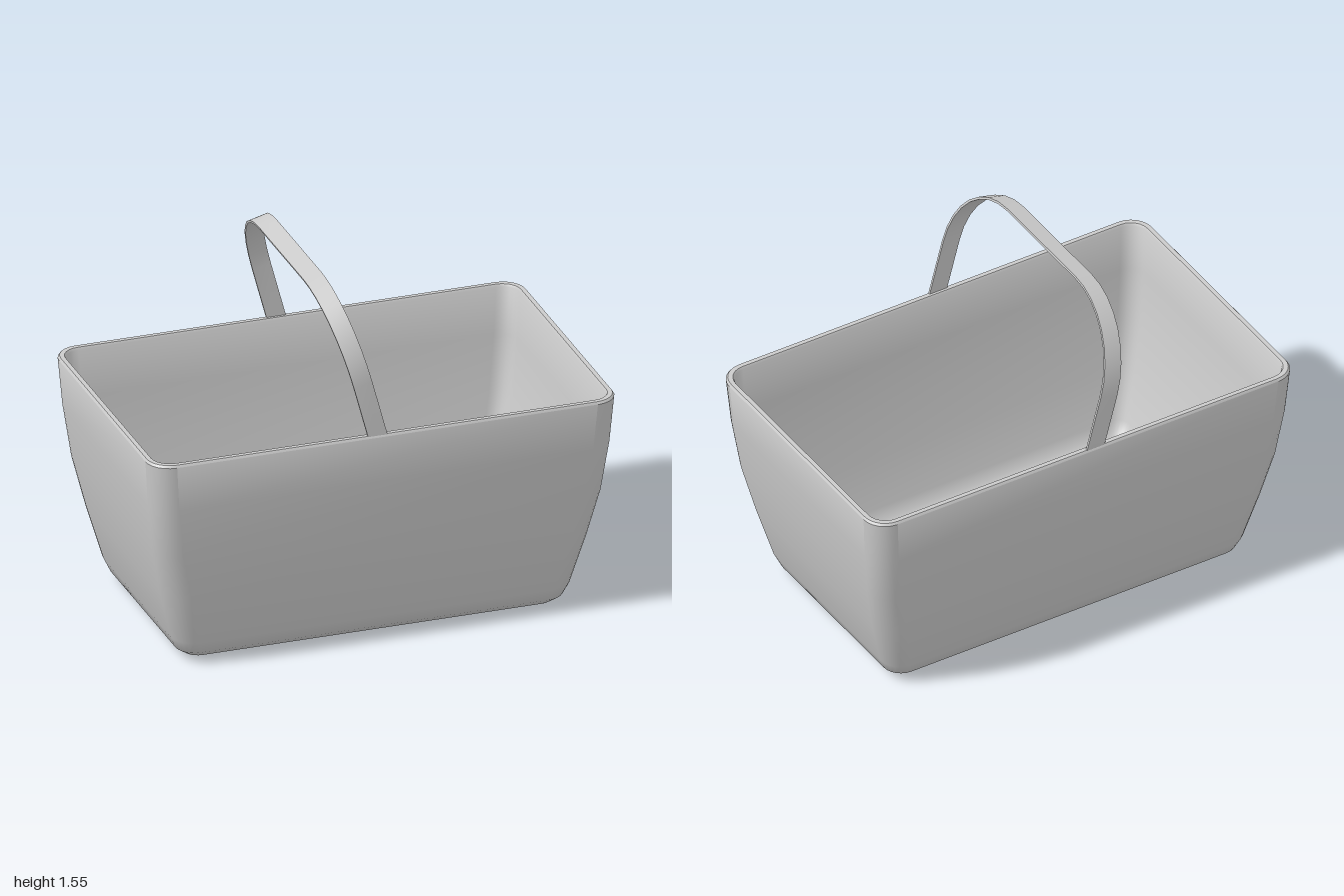
import * as THREE from 'three';
import { toCreasedNormals } from 'three/addons/utils/BufferGeometryUtils.js';

const CORNER_STEPS = 6;

// Rounded rectangle in the xz plane at height y
function ring([y, hx, hz, r]) {
  const points = [];
  const corners = [[1, 1], [-1, 1], [-1, -1], [1, -1]];
  corners.forEach(([sx, sz], q) => {
    for (let i = 0; i <= CORNER_STEPS; i++) {
      const a = (q + i / CORNER_STEPS) * Math.PI / 2;
      points.push([sx * (hx - r) + r * Math.cos(a), y, sz * (hz - r) + r * Math.sin(a)]);
    }
  });
  return points;
}

// Skin through the rings, closed with a fan at each end
function loft(sections) {
  const rings = sections.map(ring);
  const n = rings[0].length;
  const positions = rings.flat(2);
  const index = [];
  for (let i = 0; i < rings.length - 1; i++) {
    for (let j = 0; j < n; j++) {
      const k = (j + 1) % n;
      const a = i * n + j, b = i * n + k, c = a + n, d = b + n;
      index.push(a, c, b, b, c, d);
    }
  }
  const first = rings.length * n, last = first + 1, top = (rings.length - 1) * n;
  positions.push(0, sections[0][0], 0, 0, sections[sections.length - 1][0], 0);
  for (let j = 0; j < n; j++) {
    const k = (j + 1) % n;
    index.push(first, j, k, last, top + k, top + j);
  }
  const geometry = new THREE.BufferGeometry();
  geometry.setAttribute('position', new THREE.Float32BufferAttribute(positions, 3));
  geometry.setIndex(index);
  return toCreasedNormals(geometry, 0.7);
}

export function createModel() {
  const model = new THREE.Group();
  model.name = 'basket';
  const material = new THREE.MeshStandardMaterial({ color: 0xcccccc });

  // Tub: up the outside, over the rim, down the inside [y, half x, half z, corner radius]
  const tub = new THREE.Mesh(loft([
    [0, 0.74, 0.38, 0.04],
    [0.015, 0.785, 0.43, 0.06],
    [0.045, 0.825, 0.467, 0.08],
    [0.1, 0.85, 0.49, 0.09],
    [0.32, 0.91, 0.535, 0.1],
    [0.53, 0.957, 0.573, 0.1],
    [0.75, 0.985, 0.6, 0.1],
    [0.952, 1, 0.615, 0.1],
    [0.962, 0.993, 0.608, 0.095],
    [0.962, 0.974, 0.589, 0.08],
    [0.952, 0.968, 0.583, 0.075],
    [0.75, 0.953, 0.568, 0.075],
    [0.53, 0.925, 0.541, 0.075],
    [0.32, 0.88, 0.505, 0.07],
    [0.1, 0.822, 0.46, 0.06],
    [0.05, 0.802, 0.44, 0.05],
    [0.03, 0.775, 0.413, 0.03],
  ]), material);
  tub.name = 'tub';
  model.add(tub);

  // Handle: thin arched band, its ends sunk into the rim
  const width = 0.08, t = 0.01, foot = -0.05;
  const half = 0.61, spring = 0.24, flat = 0.26, rise = 0.365;
  const rx = half - flat;
  const band = new THREE.Shape();
  band.moveTo(half, foot);
  band.lineTo(half, spring);
  band.absellipse(flat, spring, rx, rise, 0, Math.PI / 2, false);
  band.absellipse(-flat, spring, rx, rise, Math.PI / 2, Math.PI, false);
  band.lineTo(-half, foot);
  band.lineTo(-half + t, foot);
  band.lineTo(-half + t, spring);
  band.absellipse(-flat, spring, rx - t, rise - t, Math.PI, Math.PI / 2, true);
  band.absellipse(flat, spring, rx - t, rise - t, Math.PI / 2, 0, true);
  band.lineTo(half - t, foot);
  const arch = new THREE.ExtrudeGeometry(band, { depth: width, bevelEnabled: false, curveSegments: 4 });
  arch.translate(0, 0, -width / 2);
  arch.rotateY(Math.PI / 2);
  const handle = new THREE.Mesh(toCreasedNormals(arch, 0.7), material);
  handle.name = 'handle';
  handle.position.set(-0.04, 0.96, 0);
  handle.rotation.z = THREE.MathUtils.degToRad(15);
  model.add(handle);

  return model;
}
